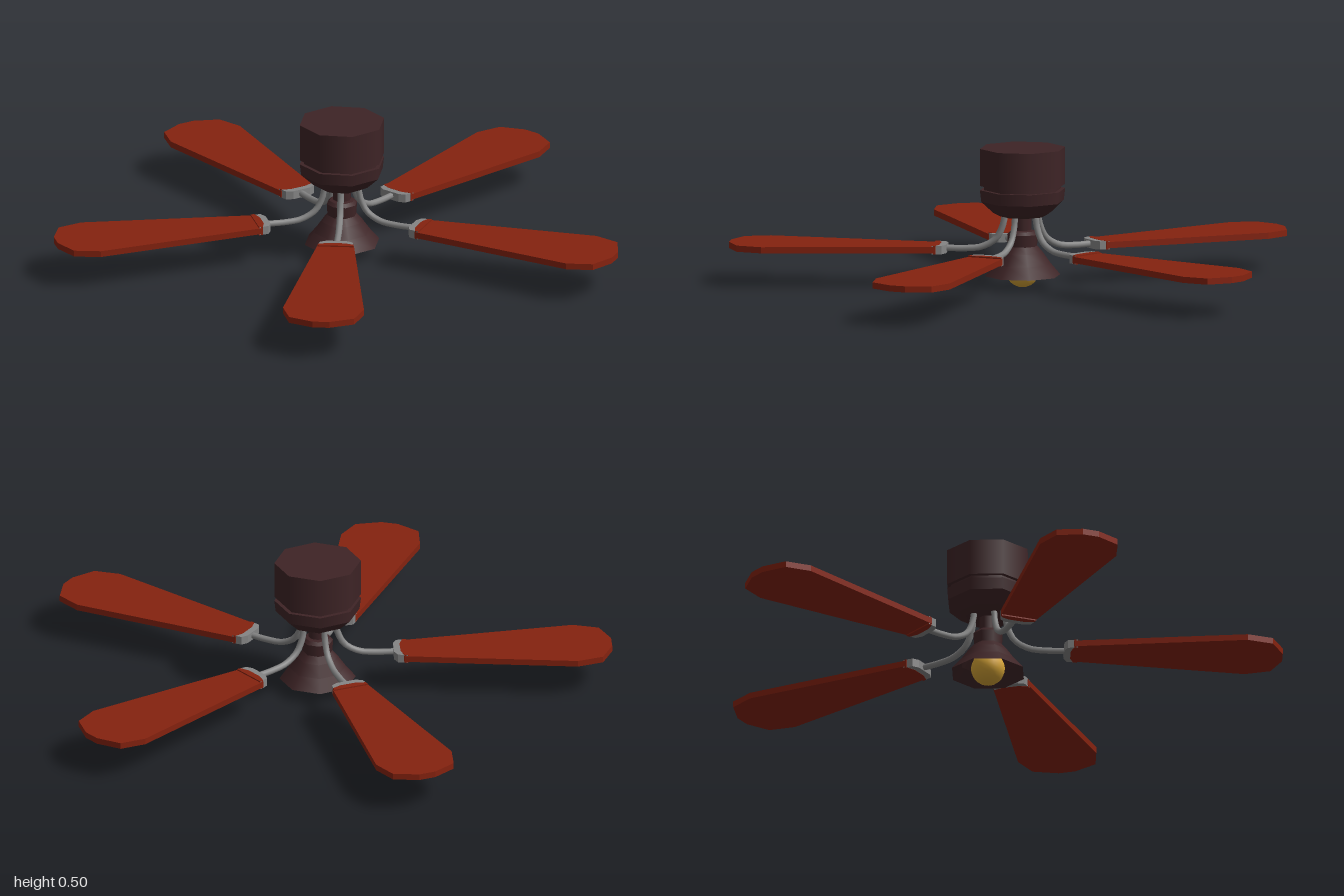
import * as THREE from 'three';
import { mergeGeometries } from 'three/addons/utils/BufferGeometryUtils.js';

const mat = (name, color, side = THREE.FrontSide) => {
  const m = new THREE.MeshStandardMaterial({ color, side });
  m.name = name;
  return m;
};

// Turned part: smooth around the axis, sharp between profile steps (listed bottom to top)
function turned(profile, sides = 8) {
  const bands = [];
  for (let i = 0; i < profile.length - 1; i++) {
    const pair = [profile[i], profile[i + 1]].map(([r, y]) => new THREE.Vector2(r, y));
    bands.push(new THREE.LatheGeometry(pair, sides));
  }
  return mergeGeometries(bands);
}

// Flat plate with a mirrored outline given as [distance, half width]
function plate(half, y, thickness) {
  const mirrored = half.map(([r, w]) => [r, -w]).reverse();
  const shape = new THREE.Shape([...mirrored, ...half].map(([r, w]) => new THREE.Vector2(r, w)));
  const g = new THREE.ExtrudeGeometry(shape, { depth: thickness, bevelEnabled: false });
  return g.rotateX(-Math.PI / 2).translate(0, y, 0);
}

export function createModel() {
  const brown = mat('dark brown', 0x3e2426);
  const shadeBrown = brown;
  shadeBrown.side = THREE.DoubleSide;
  const red = mat('red wood', 0x85220f);
  const grey = mat('grey metal', 0x858585);
  const gold = mat('gold bulb', 0xd6a436);

  const model = new THREE.Group();
  const fan = new THREE.Group();
  fan.name = 'ceilingFan';
  fan.position.x = 0.078;
  model.add(fan);
  const add = (parent, name, geometry, material) => {
    const mesh = new THREE.Mesh(geometry, material);
    mesh.name = name;
    parent.add(mesh);
    return mesh;
  };

  // Motor housing with a narrow groove
  add(fan, 'motorHousing', turned([
    [0, 0.255], [0.08, 0.255], [0.105, 0.268], [0.148, 0.308], [0.153, 0.35], [0.138, 0.35],
    [0.138, 0.365], [0.153, 0.365], [0.153, 0.497], [0, 0.497],
  ]), brown);

  // Neck and collar
  add(fan, 'neck', turned([
    [0, 0.145], [0.052, 0.145], [0.055, 0.19], [0.045, 0.202], [0.032, 0.205], [0.032, 0.256],
  ]), brown);

  // Lamp shade, open below
  add(fan, 'lampShade', turned([
    [0.135, 0.043], [0.1, 0.085], [0.072, 0.125], [0.045, 0.157], [0, 0.157],
  ]), shadeBrown);

  // Bulb
  add(fan, 'bulb', new THREE.SphereGeometry(0.06, 16, 12).translate(0, 0.061, 0), gold);

  // Five arms, brackets and blades
  const armPath = new THREE.CatmullRomCurve3([
    [0.062, 0.262], [0.07, 0.22], [0.095, 0.172], [0.145, 0.143], [0.2, 0.136], [0.28, 0.136],
  ].map(([r, y]) => new THREE.Vector3(r, y, 0)));
  const armGeometry = new THREE.TubeGeometry(armPath, 14, 0.0115, 8);
  const bracketGeometry = plate([[0.268, 0.035], [0.28, 0.058], [0.315, 0.064], [0.315, 0.04]], 0.121, 0.03);
  const bladeGeometry = plate([
    [0.291, 0.03], [0.302, 0.064], [0.91, 0.143], [1.0, 0.115], [1.038, 0.03],
  ], 0.125, 0.022);
  // Red inlay caps keep only the rim of each bracket exposed
  const capGeometry = plate([[0.291, 0.03], [0.302, 0.062], [0.316, 0.064]], 0.1205, 0.031);

  for (let i = 0; i < 5; i++) {
    const unit = new THREE.Group();
    unit.name = 'bladeUnit' + (i + 1);
    unit.rotation.y = Math.PI + (i * 2 * Math.PI) / 5;
    add(unit, 'arm', armGeometry, grey);
    add(unit, 'bracket', bracketGeometry, grey);
    add(unit, 'bladeRoot', capGeometry, red);
    add(unit, 'blade', bladeGeometry, red);
    fan.add(unit);
  }
  return model;
}
